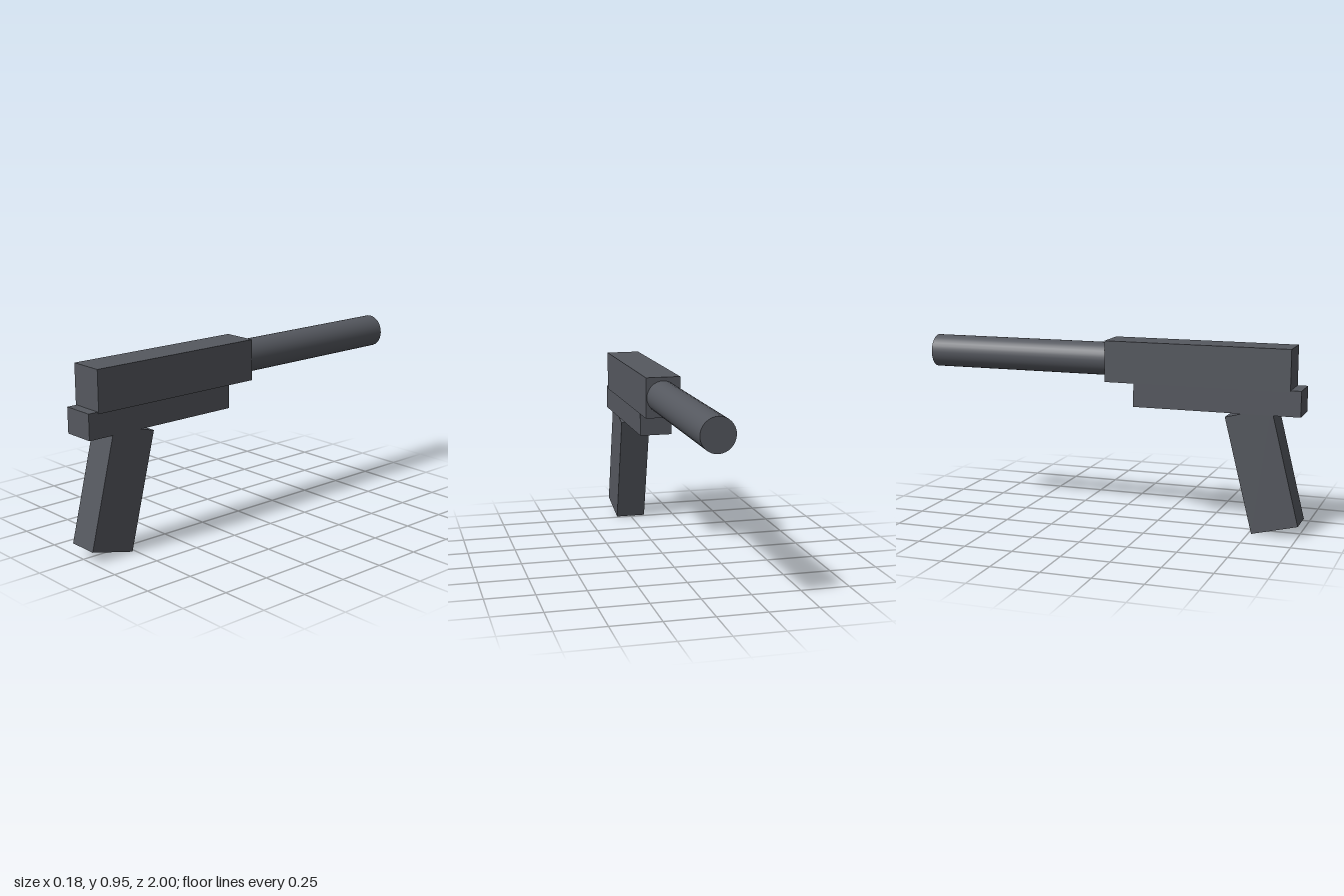
import * as THREE from 'three';

export function createModel() {
  const model = new THREE.Group();
  const gunmetal = new THREE.MeshStandardMaterial({ color: 0x55585f });
  gunmetal.name = 'gunmetal grey';

  const add = (name, geometry, x, y, z) => {
    const mesh = new THREE.Mesh(geometry, gunmetal);
    mesh.name = name;
    mesh.position.set(x, y, z);
    model.add(mesh);
    return mesh;
  };

  // Upper slide and the slightly narrower frame beneath it
  add('slide', new THREE.BoxGeometry(0.182, 0.212, 0.96), -0.001, 0.84, 0.467);
  add('frame', new THREE.BoxGeometry(0.171, 0.13, 0.86), -0.001, 0.678, 0.57);

  // Long round barrel, its inner end sunk into the slide
  const barrel = add('barrel', new THREE.CylinderGeometry(0.085, 0.085, 1.05, 32), 0, 0.842, -0.475);
  barrel.rotation.x = Math.PI / 2;

  // Raked grip, its top corner tucked into the frame
  const grip = add('grip', new THREE.BoxGeometry(0.162, 0.608, 0.242), -0.001, 0.325, 0.81);
  grip.rotation.x = THREE.MathUtils.degToRad(-14);

  return model;
}
